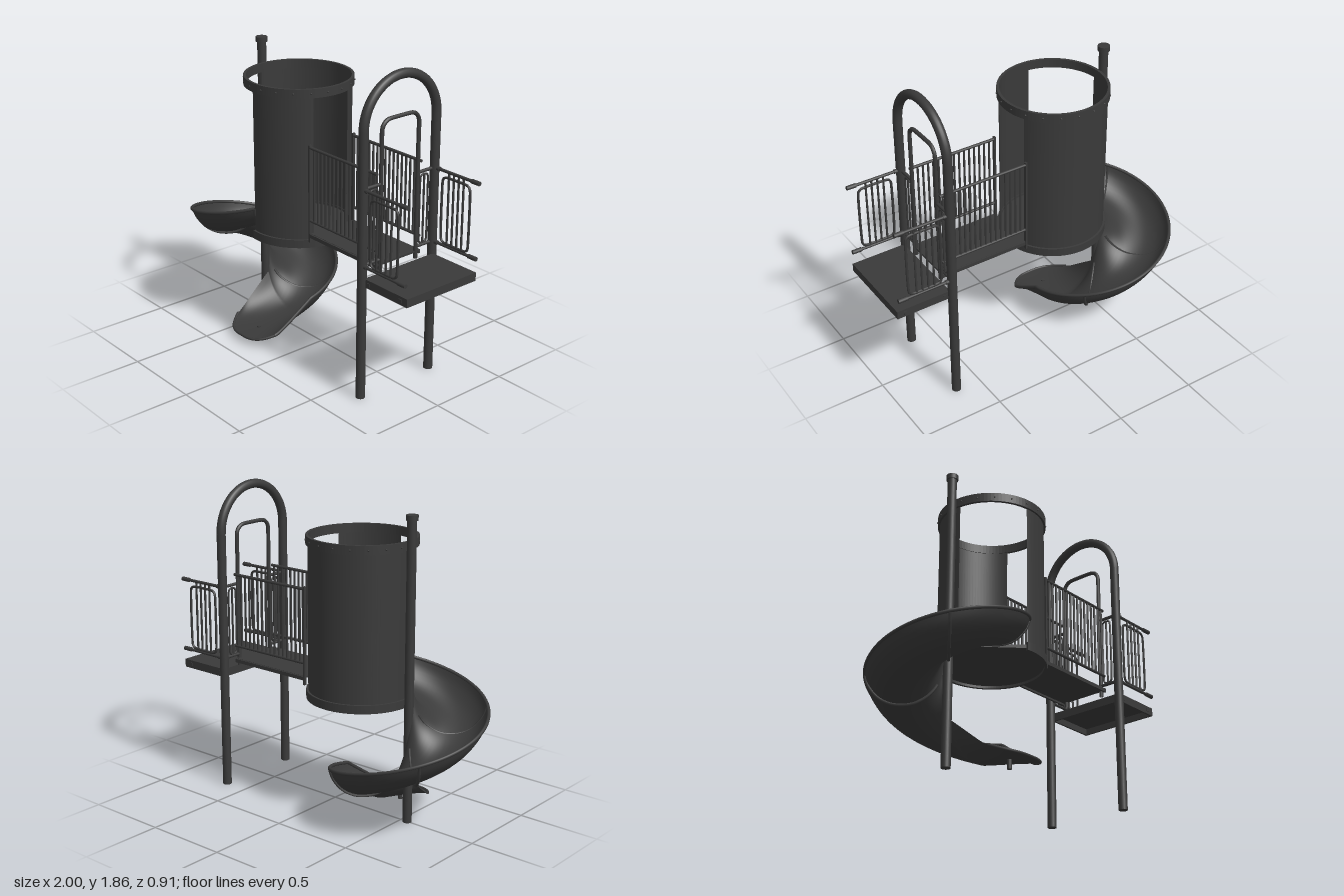
import * as THREE from 'three';

const mat = new THREE.MeshStandardMaterial({ color: 0x3a3a3a, side: THREE.DoubleSide });
const V = (x, y, z) => new THREE.Vector3(x, y, z);
const rad = THREE.MathUtils.degToRad;

export function createModel() {
  const root = new THREE.Group();
  const group = (name) => {
    const g = new THREE.Group();
    g.name = name;
    root.add(g);
    return g;
  };
  const add = (parent, name, geo, x = 0, y = 0, z = 0) => {
    const m = new THREE.Mesh(geo, mat);
    m.name = name;
    m.position.set(x, y, z);
    parent.add(m);
    return m;
  };
  const box = (p, name, w, h, d, x, y, z) => add(p, name, new THREE.BoxGeometry(w, h, d), x, y, z);
  const post = (p, name, r, y0, y1, x, z, sides = 8) =>
    add(p, name, new THREE.CylinderGeometry(r, r, y1 - y0, sides), x, (y0 + y1) / 2, z);
  const railX = (p, name, r, x0, x1, y, z) => {
    const m = add(p, name, new THREE.CylinderGeometry(r, r, x1 - x0, 10), (x0 + x1) / 2, y, z);
    m.rotation.z = Math.PI / 2;
  };
  const tube = (p, name, pts, r, seg, closed = false, sides = 8) =>
    add(p, name, new THREE.TubeGeometry(new THREE.CatmullRomCurve3(pts, closed, 'centripetal'), seg, r, sides, closed));
  // rounded rectangle outline: a across, b up, placed in space by fn
  const roundedLoop = (p, name, a0, a1, b0, b1, c, r, fn) => {
    const pts = [];
    const corners = [[a1 - c, b1 - c], [a0 + c, b1 - c], [a0 + c, b0 + c], [a1 - c, b0 + c]];
    corners.forEach(([a, b], q) => {
      for (let i = 0; i <= 4; i++) {
        const t = (q + i / 4) * Math.PI / 2;
        pts.push(fn(a + c * Math.cos(t), b + c * Math.sin(t)));
      }
    });
    tube(p, name, pts, r, 90, true, 6);
  };

  // ---- central pole of the slide
  const PX = -0.545;
  const pole = group('slidePole');
  post(pole, 'poleShaft', 0.027, 0, 1.78, PX, 0, 24);
  post(pole, 'poleCap', 0.035, 1.765, 1.795, PX, 0, 24);

  // ---- drum: two wall arcs, rings, floor cut by a chord at the slide
  const DX = -0.2, drum = group('drum');
  const arc = (name, R, y0, y1, a0, a1) =>
    add(drum, name, new THREE.CylinderGeometry(R, R, y1 - y0, 48, 1, true, rad(90 - a1), rad(a1 - a0)), DX, (y0 + y1) / 2, 0);
  arc('frontWall', 0.308, 0.7, 1.63, 24, 97);
  arc('backWall', 0.308, 0.7, 1.63, 174, 336);
  const ring = (name, y, h, a0, a1) => {
    const s = new THREE.Shape();
    s.absarc(0, 0, 0.32, rad(a0), rad(a1), false);
    if (a1 - a0 < 360) s.absarc(0, 0, 0.304, rad(a1), rad(a0), true);
    else s.holes.push(new THREE.Path().absarc(0, 0, 0.304, 0, Math.PI * 2, true));
    const g = new THREE.ExtrudeGeometry(s, { depth: h, bevelEnabled: false, curveSegments: 48 });
    add(drum, name, g.rotateX(Math.PI / 2), DX, y + h, 0);
  };
  ring('topRing', 1.592, 0.053, 0, 360);
  ring('bottomRing', 0.69, 0.05, 172, 458);
  const floor = new THREE.Shape().absarc(0, 0, 0.307, rad(172), rad(458), false);
  const floorGeo = new THREE.ExtrudeGeometry(floor, { depth: 0.02, bevelEnabled: false, curveSegments: 48 });
  add(drum, 'drumFloor', floorGeo.rotateX(Math.PI / 2), DX, 0.725, 0);
  for (let i = 0; i < 20; i++) {
    const a = rad(i * 18 + 9);
    add(drum, 'ringBolt', new THREE.SphereGeometry(0.006, 6, 4), DX + 0.32 * Math.cos(a), 1.618, 0.32 * Math.sin(a));
  }

  // ---- spiral slide: a trough section swept round the pole, then a flattening exit
  const slide = group('spiralSlide');
  const section = new THREE.SplineCurve([[0.026, 0.03], [0.06, -0.05], [0.11, -0.11], [0.19, -0.155], [0.29, -0.16],
    [0.37, -0.125], [0.425, -0.06], [0.447, 0]].map(([r, y]) => new THREE.Vector2(r, y))).getPoints(24);
  const spiral = (deg, p, drop = 0) => V(PX + p.x * Math.cos(rad(deg)), 0.88 - 0.18 * (deg - 45) / 90 + p.y - drop, p.x * Math.sin(rad(deg)));
  const exit = (k, p) => {
    const u = (p.x - 0.24) / 0.21;
    const flatY = 0.045 + 0.035 * Math.pow(Math.abs(u), 4);
    const e = 1 - Math.pow(1 - k, 1.5);
    const s = k * 0.375 * (1 - 0.3 * Math.pow(Math.abs(u), 3) * k);
    return V(PX + THREE.MathUtils.lerp(p.x, 0.24 + u * 0.19, k), THREE.MathUtils.lerp(0.25 + p.y, flatY, e), s);
  };
  const rows = [];
  for (let i = 0; i <= 63; i++) rows.push(section.map((p) => spiral(45 + i * 5, p)));
  for (let i = 1; i <= 14; i++) rows.push(section.map((p) => exit(i / 14, p)));
  const n = section.length, index = [];
  for (let i = 0; i < rows.length - 1; i++) {
    for (let j = 0; j < n - 1; j++) {
      const a = i * n + j, b = a + n;
      index.push(a, b, a + 1, b, b + 1, a + 1);
    }
  }
  const chute = new THREE.BufferGeometry().setFromPoints(rows.flat());
  chute.setIndex(index);
  chute.computeVertexNormals();
  add(slide, 'chute', chute);
  tube(slide, 'outerLip', rows.map((r) => r[n - 1]), 0.01, 160);
  tube(slide, 'exitLip', rows[rows.length - 1], 0.008, 40);
  tube(slide, 'entryLip', rows[0], 0.008, 40);
  for (const deg of [135, 225, 315]) {
    tube(slide, 'seamFlange', section.slice(3).map((p) => spiral(deg, p, 0.008)), 0.009, 36, false, 6);
  }
  post(slide, 'exitLeg', 0.013, 0, 0.06, -0.31, 0.24, 10);

  // ---- big arch with two posts
  const AX = 0.652, AZ = 0.265, arch = group('entryArch');
  const bend = new THREE.TorusGeometry(AZ, 0.027, 16, 40, Math.PI).rotateY(Math.PI / 2);
  add(arch, 'archBend', bend, AX, 1.57, 0);
  for (const s of [-1, 1]) post(arch, 'archPost', 0.027, 0, 1.57, AX, s * AZ, 20);

  // ---- inner gate hoop and the narrow panels beside it
  const gate = group('gate');
  const hoop = [];
  for (let i = 0; i <= 6; i++) {
    const t = (i / 6) * Math.PI / 2;
    hoop.push(V(AX, 1.545 + 0.06 * Math.sin(t), 0.075 + 0.06 * Math.cos(t)));
  }
  const half = [V(AX, 0.74, 0.135), V(AX, 1.1, 0.135), V(AX, 1.45, 0.135), ...hoop];
  tube(gate, 'gateHoop', [...half, ...half.slice().reverse().map((p) => V(p.x, p.y, -p.z))], 0.012, 120);
  for (const s of [-1, 1]) {
    roundedLoop(gate, 'sidePanelLoop', 0.158, 0.215, 0.82, 1.23, 0.02, 0.006, (a, b) => V(AX, b, s * a));
    post(gate, 'sidePanelBar', 0.006, 0.82, 1.23, AX, s * 0.187);
    for (const y of [0.81, 1.25]) {
      const m = add(gate, 'sidePanelRail', new THREE.CylinderGeometry(0.01, 0.01, 0.13, 8), AX, y, s * 0.2);
      m.rotation.x = Math.PI / 2;
    }
  }

  // ---- bridge between drum and arch
  const bridge = group('bridge');
  box(bridge, 'bridgeDeck', 0.56, 0.012, 0.32, 0.375, 0.78, 0);
  for (const s of [-1, 1]) {
    const z = s * 0.163;
    box(bridge, 'deckEdge', 0.56, 0.022, 0.012, 0.375, 0.773, z);
    box(bridge, 'railEndPlate', 0.012, 0.59, 0.018, 0.094, 1.03, z);
    for (const y of [0.868, 1.31]) railX(bridge, 'bridgeRail', 0.009, 0.09, AX, y, z);
    for (let i = 0; i < 16; i++) post(bridge, 'bridgeBar', 0.0065, 0.868, 1.31, 0.13 + i * 0.0335, z);
  }

  // ---- entry platform: top plate on a hollow frame
  const platform = group('entryPlatform');
  box(platform, 'platformTop', 0.335, 0.012, 0.52, 0.8325, 0.73, 0);
  for (const x of [0.671, 0.994]) box(platform, 'platformEndBeam', 0.012, 0.05, 0.52, x, 0.711, 0);
  for (const s of [-1, 1]) {
    const z = s * AZ;
    box(platform, 'platformSideBeam', 0.335, 0.05, 0.012, 0.8325, 0.711, s * 0.254);
    for (const x of [0.7, 0.95]) box(platform, 'beamBolt', 0.02, 0.02, 0.004, x, 0.711, s * 0.262);
    // side railing
    for (const y of [0.81, 1.25]) {
      railX(platform, 'platformRail', 0.009, AX, 0.98, y, z);
      railX(platform, 'railClamp', 0.013, 0.935, 0.992, y, z);
      railX(platform, 'railSocket', 0.013, AX, 0.695, y, z);
    }
    roundedLoop(platform, 'railingLoop', 0.718, 0.925, 0.825, 1.215, 0.03, 0.0075, (a, b) => V(a, b, z));
    for (let i = 0; i < 4; i++) post(platform, 'railingBar', 0.0065, 0.81, 1.25, 0.765 + i * 0.037, z);
  }
  return root;
}
